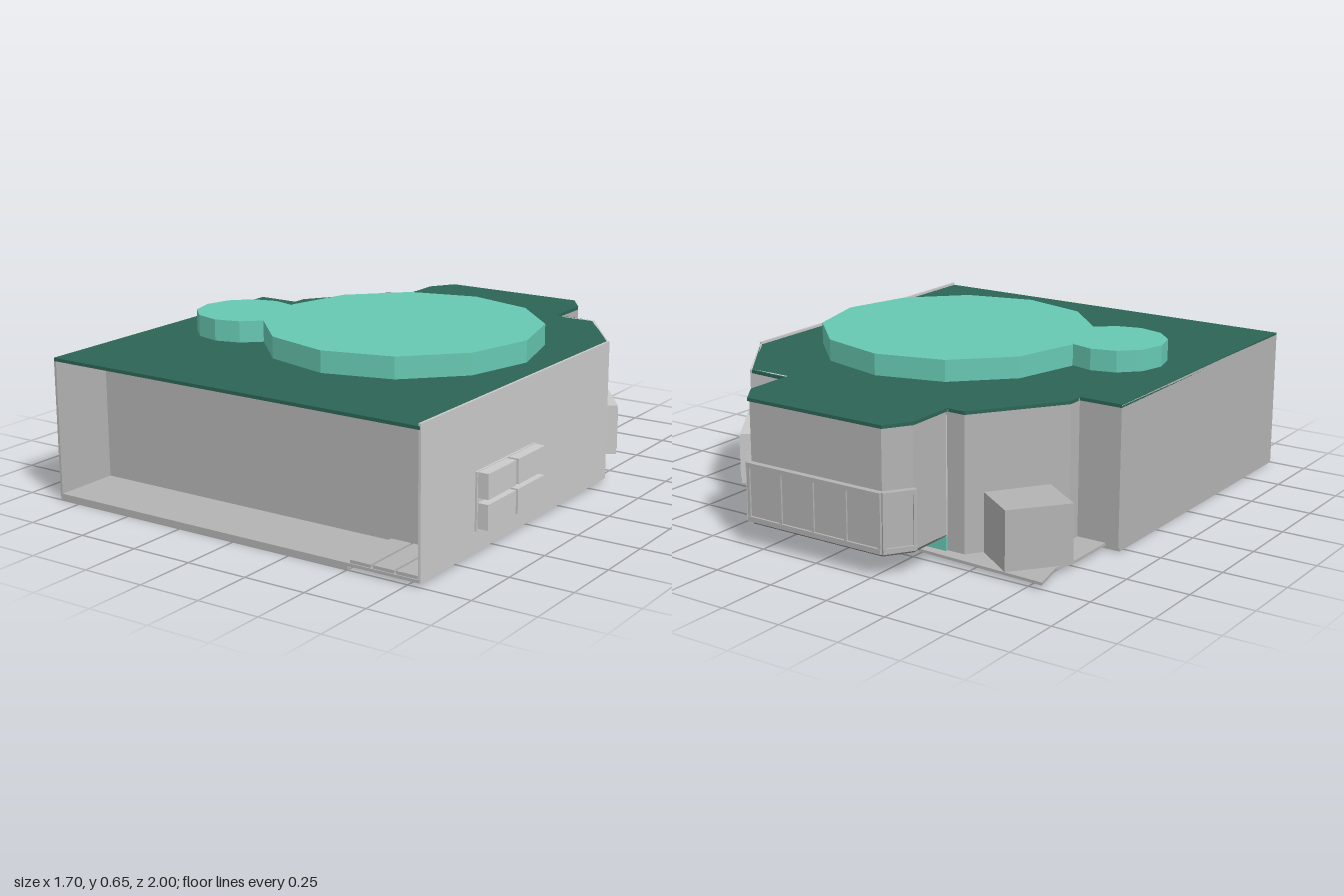
import * as THREE from 'three';

const mat = (name, color) => {
  const m = new THREE.MeshStandardMaterial({ color });
  m.name = name;
  return m;
};

export function createModel() {
  const root = new THREE.Group();
  root.name = 'building';
  const gray = mat('gray', 0xb3b3b3);
  const light = mat('lightGray', 0xcacaca);
  const dark = mat('darkGray', 0x606060);
  const green = mat('darkGreen', 0x2c6456);
  const teal = mat('teal', 0x67c8b2);

  const add = (name, geo, material, parent = root) => {
    const m = new THREE.Mesh(geo, material);
    m.name = name;
    parent.add(m);
    return m;
  };
  const box = (name, x0, x1, y0, y1, z0, z1, material, parent = root) => {
    const g = new THREE.BoxGeometry(x1 - x0, y1 - y0, z1 - z0);
    g.translate((x0 + x1) / 2, (y0 + y1) / 2, (z0 + z1) / 2);
    return add(name, g, material, parent);
  };
  // horizontal plate from an [x, z] outline
  const plate = (name, pts, y0, y1, material) => {
    const s = new THREE.Shape(pts.map(([x, z]) => new THREE.Vector2(x, -z)));
    const g = new THREE.ExtrudeGeometry(s, { depth: y1 - y0, bevelEnabled: false });
    g.rotateX(-Math.PI / 2).translate(0, y0, 0);
    return add(name, g, material);
  };
  // local frame along a wall line: x runs from a to b, z points outward
  const frame = (name, a, b) => {
    const f = new THREE.Group();
    f.name = name;
    f.position.set(a[0], 0, a[1]);
    f.rotation.y = Math.atan2(a[1] - b[1], b[0] - a[0]);
    root.add(f);
    return [f, Math.hypot(b[0] - a[0], b[1] - a[1])];
  };
  const wall = (name, a, b, y0, y1, material) => {
    const [f, len] = frame(name + 'Group', a, b);
    box(name, 0, len, y0, y1, -0.01, 0, material, f);
  };

  // roof and raised pool on top
  plate('roof', [
    [0.795, 1], [0.795, -0.36], [0.56, -0.68], [0.39, -0.69], [0.39, -0.88], [0.32, -0.98],
    [-0.29, -0.98], [-0.355, -0.88], [-0.355, -0.68], [-0.43, -0.68], [-0.67, -0.35],
    [-0.67, -0.29], [-0.845, -0.29], [-0.845, 1],
  ], 0.552, 0.565, green);
  const arc = (cx, cz, r, from, to) => {
    const out = [];
    for (let i = from; i <= to; i++) {
      const t = (i * Math.PI) / 6;
      out.push([cx + r * Math.cos(t), cz + r * Math.sin(t)]);
    }
    return out;
  };
  plate('pool', [
    ...arc(0.125, 0.075, 0.55, -5, 4), [-0.34, 0.36],
    ...arc(-0.51, 0.25, 0.2, 2, 10), [-0.42, 0.07],
  ], 0.565, 0.65, teal);

  // floor and lower slab
  plate('floor', [
    [0.795, 1], [0.795, -0.36], [0.59, -0.68], [-0.35, -0.73], [-0.805, -0.75],
    [-0.77, -0.6], [-0.79, -0.5], [-0.79, -0.29], [-0.845, -0.29], [-0.845, 1],
  ], 0.015, 0.026, gray);
  plate('lowerSlab', [
    [0.5, 0.998], [0.5, -0.06], [0.23, -0.28], [-0.845, -0.28], [-0.845, 0.998],
  ], 0, 0.015, gray);

  // main walls
  const R = [[0.8, 1], [0.8, -0.36], [0.57, -0.68], [0.39, -0.68]];
  ['rightFrontWall', 'angledWall', 'backCornerWall'].forEach((n, i) =>
    wall(n, R[i], R[i + 1], 0.015, i ? 0.565 : 0.575, light));
  const L = [[-0.355, -0.68], [-0.43, -0.68], [-0.67, -0.35], [-0.67, -0.29], [-0.845, -0.29], [-0.845, 1]];
  for (let i = 0; i < 5; i++) wall('farSideWall' + (i + 1), L[i], L[i + 1], 0.015, 0.562, gray);
  box('recessWall', -0.84, 0.79, 0.02, 0.553, 0.72, 0.73, gray);
  box('backSill', -0.355, 0.39, 0.026, 0.08, -0.69, -0.68, teal);

  // planks in the open front
  for (let i = 0; i < 3; i++) {
    box('plank', 0.51 + i * 0.095, 0.595 + i * 0.095, 0.026, 0.038, 0.74, 0.995, gray);
  }

  // rear bay with its window band
  const B = [[0.39, -0.68], [0.39, -0.88], [0.315, -0.975], [-0.285, -0.975], [-0.35, -0.88], [-0.35, -0.68]];
  for (let i = 0; i < 5; i++) wall('bayWall' + (i + 1), B[i], B[i + 1], 0.085, 0.555, gray);
  plate('bayFloor', B, 0.08, 0.088, dark);
  for (let i = 1; i < 4; i++) {
    const [f, len] = frame('bayWindow', B[i], B[i + 1]);
    const n = i === 2 ? 4 : 1;
    box('pane', 0, len, 0.1, 0.32, 0, 0.015, gray, f);
    box('bottomRail', -0.006, len + 0.006, 0.095, 0.115, 0, 0.024, gray, f);
    box('topRail', -0.006, len + 0.006, 0.305, 0.323, 0, 0.024, gray, f);
    for (let k = 0; k <= n; k++) {
      const x = (len * k) / n;
      box('mullion', x - 0.006, x + 0.006, 0.115, 0.305, 0, 0.022, gray, f);
    }
  }

  // four-pane window on the straight wall
  box('windowBack', 0.8, 0.808, 0.095, 0.315, 0.232, 0.648, light);
  for (const z of [0.237, 0.447]) {
    for (const y of [0.105, 0.218]) {
      box('windowPane', 0.8, 0.85, y, y + 0.095, z, z + 0.195, light);
    }
  }

  // window box on the angled wall
  const [aw, alen] = frame('angledWindow', R[1], R[2]);
  box('windowBox', 0.055, alen - 0.02, 0.098, 0.3, 0, 0.05, light, aw);
  box('windowPanel', 0.075, alen - 0.04, 0.115, 0.285, 0.05, 0.056, light, aw);

  // tilted box beside the far rear wall
  plate('rearBox', [[-0.65, -0.75], [-0.48, -0.63], [-0.63, -0.42], [-0.81, -0.55]], 0.03, 0.26, gray);

  return root;
}
